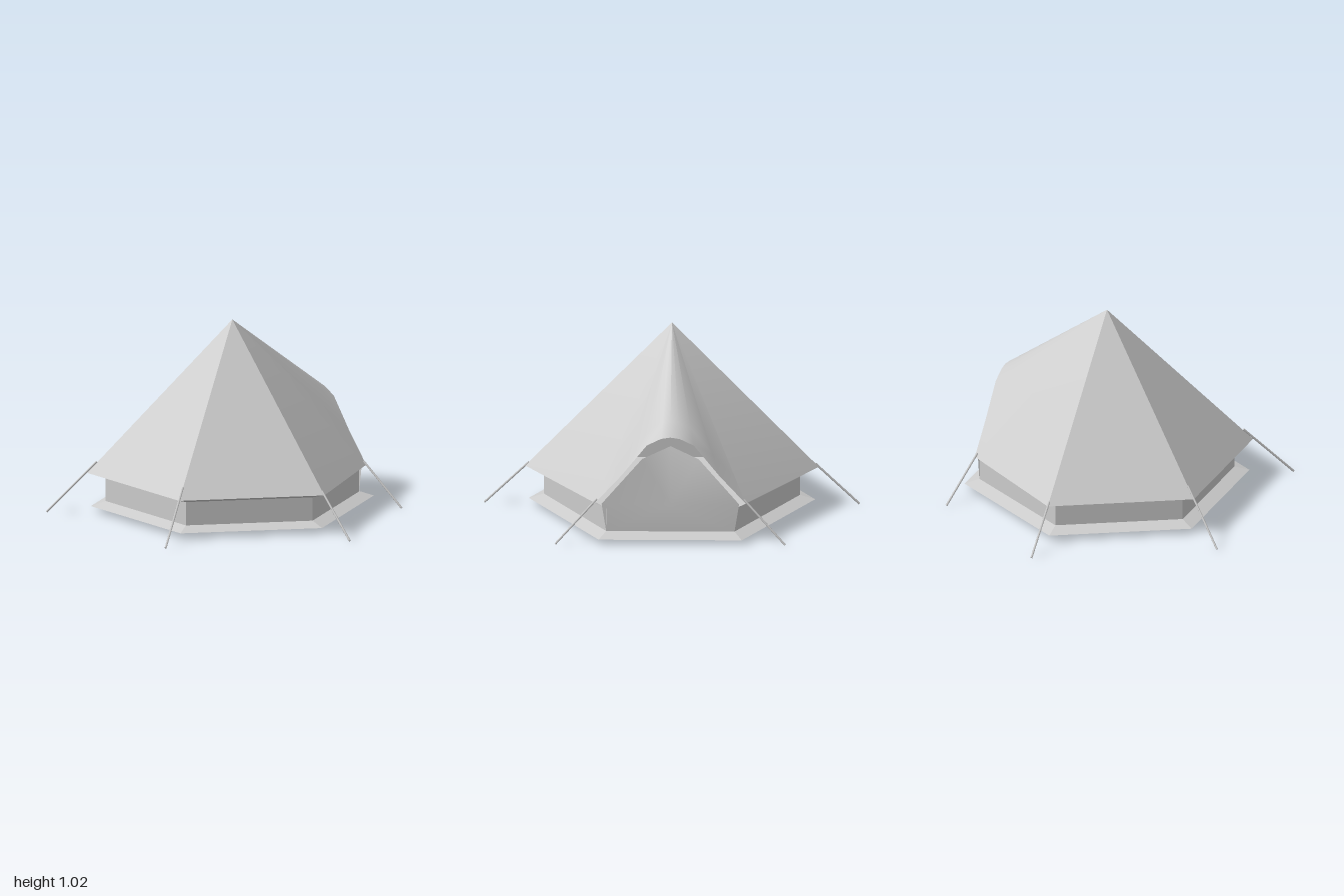
import * as THREE from 'three';
import { toCreasedNormals } from 'three/addons/utils/BufferGeometryUtils.js';

const CENTER_Z = -0.1;
const APEX = [0, 1.02, CENTER_Z];
// Eave corners from the back left, round the front, to the back right
const EAVES = [
  [0.4, 0.21, -0.69], [0.78, 0.21, -0.1], [0.39, 0.21, 0.575],
  [-0.39, 0.21, 0.575], [-0.78, 0.21, -0.1], [-0.4, 0.21, -0.69],
];
// Tops of the low walls, in the same order
const WALL_TOP = [
  [0.34, 0.18, -0.69], [0.68, 0.18, -0.1], [0.34, 0.18, 0.489],
  [-0.34, 0.18, 0.489], [-0.68, 0.18, -0.1], [-0.34, 0.18, -0.69],
];

const mirrorX = ([x, y, z]) => [-x, y, z];
const mix = (a, b, t) => a.map((v, i) => v + (b[i] - v) * t);

// Geometry from a list of triangles, each three points
function fromTriangles(tris, crease = 0.2) {
  const g = new THREE.BufferGeometry();
  g.setAttribute('position', new THREE.Float32BufferAttribute(tris.flat(2), 3));
  return toCreasedNormals(g, crease);
}

// Triangles of a strip between two rows of points
function strip(a, b) {
  const tris = [];
  for (let i = 0; i < a.length - 1; i++) {
    tris.push([a[i], b[i], b[i + 1]], [a[i], b[i + 1], a[i + 1]]);
  }
  return tris;
}

export function createModel() {
  const canvas = new THREE.MeshStandardMaterial({ color: 0xcccccc, side: THREE.DoubleSide });
  canvas.name = 'grey canvas';
  const tent = new THREE.Group();
  tent.name = 'bellTent';
  const add = (name, geometry) => {
    const mesh = new THREE.Mesh(geometry, canvas);
    mesh.name = name;
    tent.add(mesh);
    return mesh;
  };

  // Groundsheet with a sloping rim
  const sheet = new THREE.CylinderGeometry(0.68, 0.76, 0.025, 6, 1, false, Math.PI / 2);
  sheet.translate(0, 0.04, CENTER_Z);
  add('groundsheet', toCreasedNormals(sheet, 0.2));

  // Low walls on five sides; the sixth is the doorway
  add('lowWalls', fromTriangles(strip(WALL_TOP.map(([x, , z]) => [x, 0.05, z]), WALL_TOP).map((t) => t.slice().reverse()).map((t) => t.reverse())));

  // Eave underside, from wall top out to the roof edge
  add('eaveUnderside', fromTriangles(strip(WALL_TOP, EAVES)));

  // Flat roof panels
  const panels = [];
  for (let i = 1; i < 4; i++) panels.push([APEX, EAVES[i + 1], EAVES[i]].reverse());
  add('roofPanels', fromTriangles(panels.map(([a, b, c]) => [a, b, c].reverse()).map(([a, b, c]) => [a, c, b])));

  // Rear roof: two panels blending into a rounded ridge over the door
  const half = [EAVES[0], [0.26, 0.365, -0.69], [0.125, 0.535, -0.69], [0.05, 0.572, -0.69]];
  const arch = [...half, [0, 0.58, -0.69], ...half.map(mirrorX).reverse()];
  const inner = arch.map((p) => mix(p, APEX, 0.14));
  const rear = strip(arch, inner).map((t) => t.slice().reverse());
  for (let i = 0; i < inner.length - 1; i++) rear.push([APEX, inner[i], inner[i + 1]]);
  rear.push([APEX, EAVES[1], EAVES[0]], [APEX, EAVES[5], EAVES[4]]);
  // Turn every face outward, away from a point inside the tent
  const inside = new THREE.Vector3(0, 0.3, -0.2);
  const outward = (tris) => tris.map(([a, b, c]) => {
    const t = new THREE.Triangle(...[a, b, c].map((p) => new THREE.Vector3(...p)));
    const n = t.getNormal(new THREE.Vector3());
    return n.dot(t.a.clone().sub(inside)) < 0 ? [a, c, b] : [a, b, c];
  });
  add('rearRoof', fromTriangles(outward(rear), 0.7));

  // Door panel, leaning in under the ridge
  const side = [[0.34, 0.05, -0.69], [0.365, 0.205, -0.688], [0.15, 0.45, -0.665]];
  const rim = [...side, [0, 0.5, -0.6], ...side.map(mirrorX).reverse()];
  const hub = [0, 0.2, -0.688];
  const door = rim.map((p, i) => [hub, p, rim[(i + 1) % rim.length]]);
  add('doorPanel', fromTriangles(outward(door), 0.7));

  // Guy ropes from the eave corners to the ground
  const ropes = [
    ['sideRope', [0.76, 0.23, -0.1], [0.995, 0.004, -0.1]],
    ['frontRope', [0.365, 0.27, 0.53], [0.505, 0.004, 0.76]],
    ['backRope', [0.39, 0.23, -0.68], [0.61, 0.004, -0.762]],
  ];
  for (const [name, top, foot] of ropes) {
    for (const s of [1, -1]) {
      const a = new THREE.Vector3(s * top[0], top[1], top[2]);
      const b = new THREE.Vector3(s * foot[0], foot[1], foot[2]);
      const rope = add(name, new THREE.CylinderGeometry(0.006, 0.006, a.distanceTo(b), 6));
      rope.position.copy(a).add(b).multiplyScalar(0.5);
      rope.quaternion.setFromUnitVectors(new THREE.Vector3(0, 1, 0), a.clone().sub(b).normalize());
    }
  }
  return tent;
}
